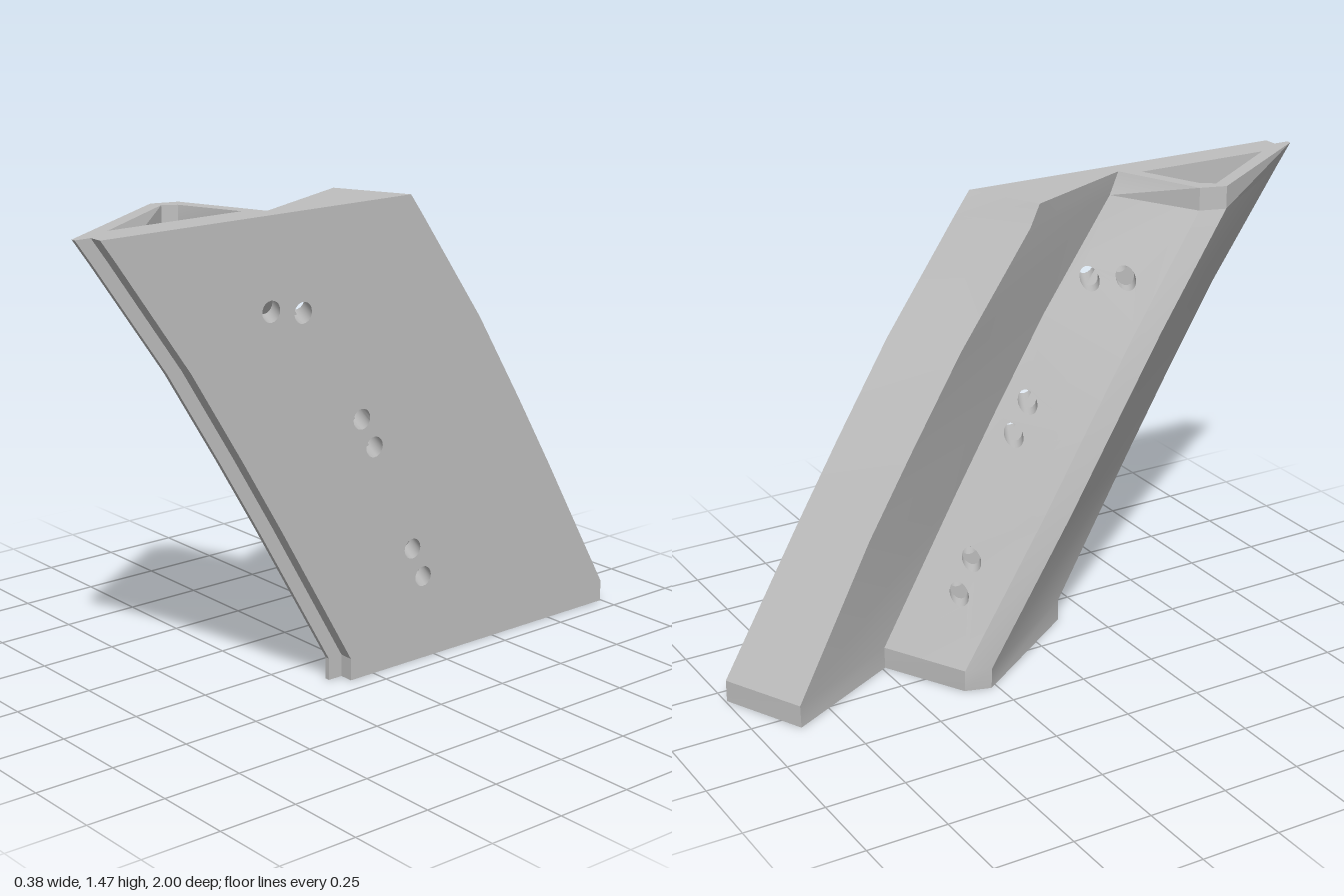
import * as THREE from 'three';
import { mergeGeometries, toCreasedNormals } from 'three/addons/utils/BufferGeometryUtils.js';

// Stations down the sweep: height, z shift, x drift of the box nose, x drift of the fin
const stations = [
  [1.47, 0, 0, 0], [1.40, -0.05, 0, 0.003], [1.06, -0.285, -0.018, 0.005], [0.77, -0.46, -0.02, 0.005],
  [0.53, -0.60, -0.018, 0.005], [0.07, -0.86, 0.013, -0.027], [0, -0.86, 0.018, -0.03],
];

// Section points: x, z at the top, z offset below the top, drift kind (0 none, 1 nose, 2 fin)
const outer = [
  [0.19, 0.95, 0, 0], [0.19, -0.135, 0, 0], [-0.04, -0.03, 0.02, 2], [0.13, 0.35, 0.02, 0],
  [-0.145, 0.46, 0.05, 1], [-0.17, 0.54, 0.05, 1], [0.13, 1.0, 0, 0], [0.145, 1.0, 0, 0], [0.145, 0.95, 0, 0],
];
const inner = [
  [0.09, 0.86, 0, 0], [-0.13, 0.53, 0.05, 1], [-0.105, 0.49, 0.05, 1], [0.09, 0.41, 0.03, 0],
];

// Bolt holes on the flat face: z, y
const drills = [[0.385, 1.195], [0.27, 1.175], [0.05, 0.82], [0, 0.725], [-0.155, 0.37], [-0.2, 0.27]];
const RADIUS = 0.032, SLOPE = 0.5, SIDES = 20;

const at = (p, i) => {
  const s = stations[i];
  return new THREE.Vector3(p[0] + (p[3] ? s[1 + p[3]] : 0), s[0], p[1] + s[1] + (i ? p[2] : 0));
};

// Point on the strip between section points a and b, below station i
function onStrip(a, b, i, t, y) {
  const k = (stations[i][0] - y) / (stations[i][0] - stations[i + 1][0]);
  const A = at(a, i).lerp(at(a, i + 1), k), B = at(b, i).lerp(at(b, i + 1), k);
  return A.lerp(B, t);
}

// Where the rim of a drill meets a strip, as (t, y)
function rimOn(a, b, i, [z, y]) {
  return Array.from({ length: SIDES }, (_, n) => {
    const q = n / SIDES * Math.PI * 2, yy = y + RADIUS * Math.sin(q), zz = z + RADIUS * Math.cos(q);
    const A = onStrip(a, b, i, 0, yy), B = onStrip(a, b, i, 1, yy);
    const gap = (v) => v.z - zz + SLOPE * (0.19 - v.x);
    return new THREE.Vector2(gap(A) / (gap(A) - gap(B)), yy);
  });
}

const fits = (rim) => rim.every((p) => p.x > 0.02 && p.x < 0.98);
const stationOf = (d) => stations.findIndex((s, i) => d[1] <= s[0] && d[1] > stations[i + 1][0]);

// One wall strip with its holes
function strip(a, b, i, rims) {
  const y0 = stations[i + 1][0], y1 = stations[i][0];
  const shape = new THREE.Shape([[0, y0], [1, y0], [1, y1], [0, y1]].map((p) => new THREE.Vector2(...p)));
  rims.forEach((r) => shape.holes.push(new THREE.Path(r)));
  const g = new THREE.ShapeGeometry(shape), pos = g.attributes.position;
  for (let n = 0; n < pos.count; n++) {
    const v = onStrip(a, b, i, pos.getX(n), pos.getY(n));
    pos.setXYZ(n, v.x, v.y, v.z);
  }
  return g;
}

// Tube wall joining two rims
function bore(r0, r1) {
  const pts = [];
  for (let n = 0; n < SIDES; n++) {
    const m = (n + 1) % SIDES;
    for (const v of [r0[n], r0[m], r1[n], r0[m], r1[m], r1[n]]) pts.push(v.x, v.y, v.z);
  }
  const g = new THREE.BufferGeometry();
  g.setAttribute('position', new THREE.Float32BufferAttribute(pts, 3));
  return g;
}

// Flat end of the section, facing up or down
function cap(i, down) {
  const flat = (loop) => loop.map((p) => { const v = at(p, i); return new THREE.Vector2(v.z, v.x); });
  const shape = new THREE.Shape(flat(outer));
  shape.holes.push(new THREE.Path(flat(inner)));
  const g = new THREE.ShapeGeometry(shape), pos = g.attributes.position;
  for (let n = 0; n < pos.count; n++) pos.setXYZ(n, pos.getY(n), stations[i][0], pos.getX(n));
  if (down) g.index.array.reverse();
  return g;
}

export function createModel() {
  const group = new THREE.Group();
  const grey = new THREE.MeshStandardMaterial({ color: 0xbfbfbf, side: THREE.DoubleSide });
  grey.name = 'light grey';
  const add = (name, list) => {
    const plain = list.map((g) => {
      const flat = g.index ? g.toNonIndexed() : g;
      flat.deleteAttribute('uv');
      flat.deleteAttribute('normal');
      return flat;
    });
    const mesh = new THREE.Mesh(toCreasedNormals(mergeGeometries(plain), 0.35), grey);
    mesh.name = name;
    group.add(mesh);
  };

  // Bores: through plate and back wall, or straight through where they miss the hollow
  const holes = {}, bores = [];
  for (const d of drills) {
    const i = stationOf(d);
    const cut = (key, loop, n) => {
      const a = loop[n], b = loop[(n + 1) % loop.length], rim = rimOn(a, b, i, d);
      return { key: `${key}${n}-${i}`, rim, pts: rim.map((p) => onStrip(a, b, i, p.x, p.y)) };
    };
    const face = cut('outer', outer, 0), back = cut('outer', outer, 3);
    const inFace = cut('inner', inner, 3), inBack = cut('inner', inner, 2);
    const open = fits(inFace.rim) && fits(inBack.rim);
    for (const c of open ? [face, inFace, inBack, back] : [face, back]) (holes[c.key] ??= []).push(c.rim);
    if (open) bores.push(bore(face.pts, inFace.pts), bore(inBack.pts, back.pts));
    else bores.push(bore(face.pts, back.pts));
  }

  // Outer skin and hollow
  const walls = (key, loop) => loop.flatMap((a, n) => stations.slice(1).map((_, i) =>
    strip(a, loop[(n + 1) % loop.length], i, holes[`${key}${n}-${i}`] ?? [])));
  add('outerSkin', walls('outer', outer));
  add('hollowLining', walls('inner', inner));
  add('boltHoles', bores);
  add('endFaces', [cap(0, false), cap(stations.length - 1, true)]);
  return group;
}
